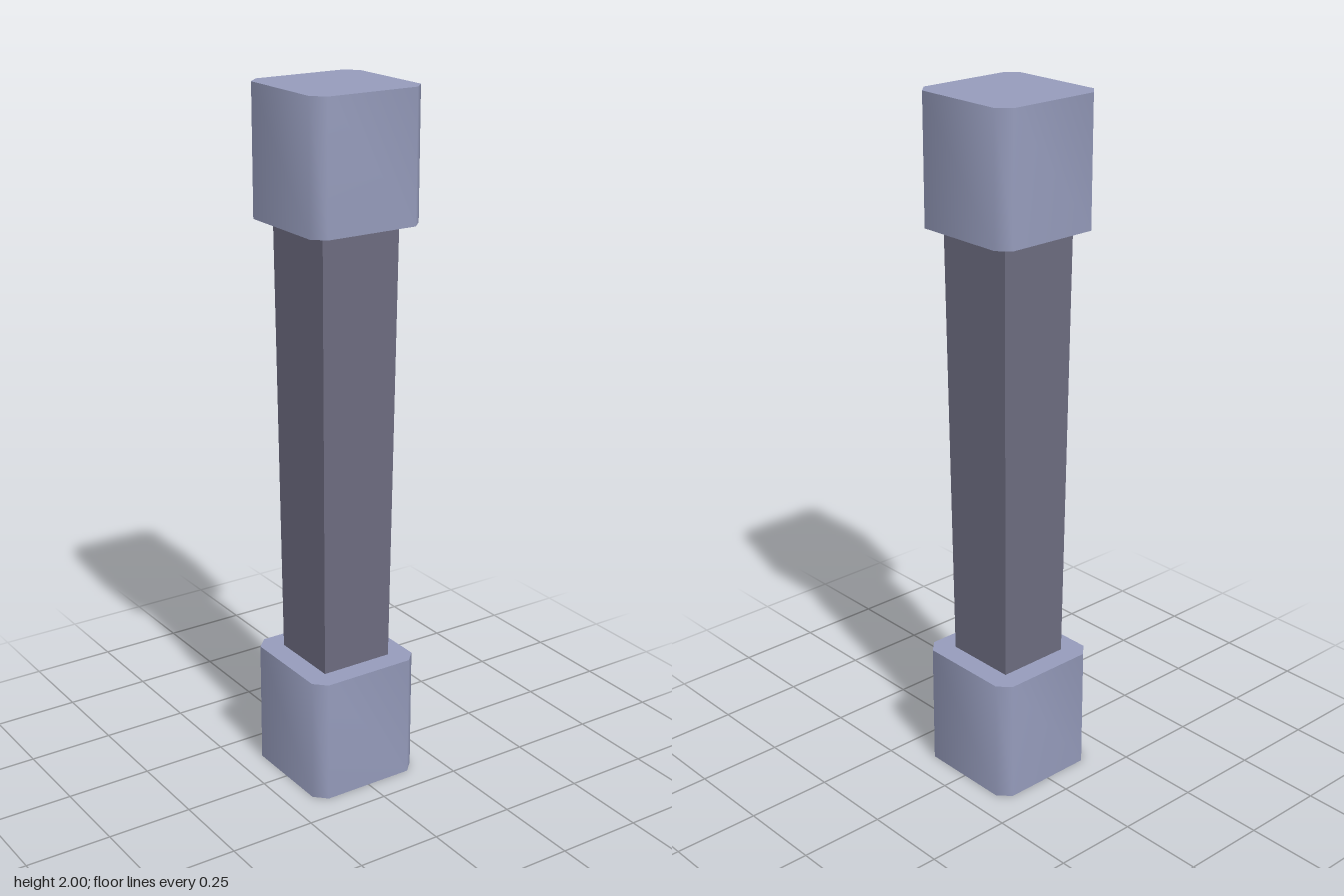
import * as THREE from 'three';
import { toCreasedNormals } from 'three/addons/utils/BufferGeometryUtils.js';

const HALF = 0.172;      // half width of the end blocks
const CHAMFER = 0.034;   // cut at their upright corners
const BLOCK_H = 0.364;

// Square block with cut corners, shaded softly around its sides
function blockGeometry() {
  const a = HALF, b = HALF - CHAMFER;
  const outline = new THREE.Shape([
    [a, -b], [a, b], [b, a], [-b, a], [-a, b], [-a, -b], [-b, -a], [b, -a],
  ].map(([x, y]) => new THREE.Vector2(x, y)));
  const geometry = new THREE.ExtrudeGeometry(outline, { depth: BLOCK_H, bevelEnabled: false });
  geometry.rotateX(-Math.PI / 2);
  return toCreasedNormals(geometry, Math.PI / 3);
}

// Square shaft, slightly wider at the top
function shaftGeometry(bottomHalf, topHalf, height) {
  const geometry = new THREE.CylinderGeometry(
    topHalf * Math.SQRT2, bottomHalf * Math.SQRT2, height, 4);
  geometry.rotateY(Math.PI / 4);
  return geometry;
}

export function createModel() {
  const model = new THREE.Group();
  model.name = 'pillar';

  const blockMaterial = new THREE.MeshStandardMaterial({ name: 'pale blue grey', color: 0x959bbb });
  const shaftMaterial = new THREE.MeshStandardMaterial({ name: 'dark grey', color: 0x6c6b7f });
  shaftMaterial.flatShading = true;

  // Base and capital
  const geometry = blockGeometry();
  for (const [name, y] of [['base', 0], ['capital', 2 - BLOCK_H]]) {
    const block = new THREE.Mesh(geometry, blockMaterial);
    block.name = name;
    block.position.y = y;
    model.add(block);
  }

  // Shaft between them
  const shaft = new THREE.Mesh(shaftGeometry(0.109, 0.121, 2 - 2 * BLOCK_H), shaftMaterial);
  shaft.name = 'shaft';
  shaft.position.y = 1;
  model.add(shaft);

  return model;
}
